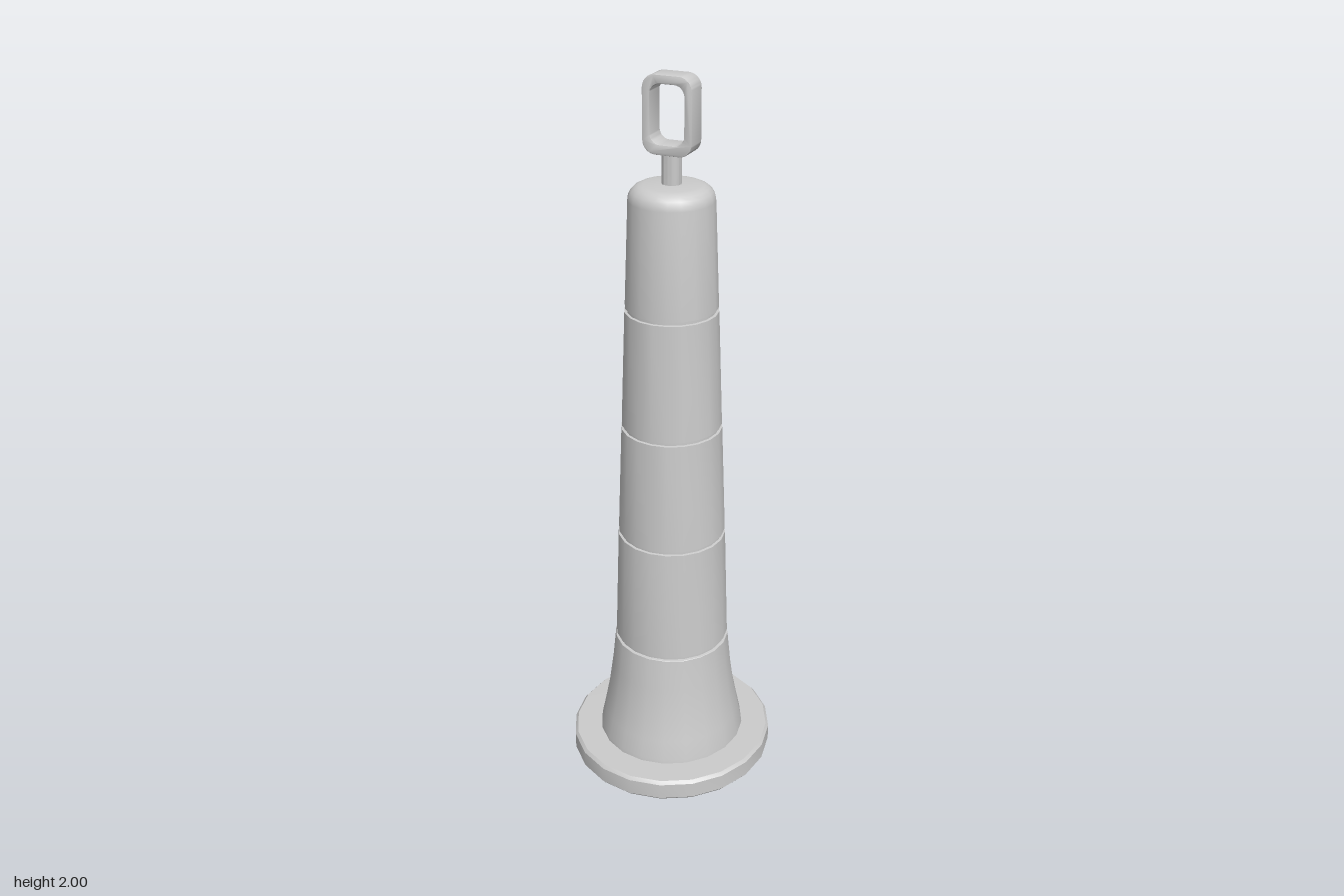
import * as THREE from 'three';
import { toCreasedNormals } from 'three/addons/utils/BufferGeometryUtils.js';

const SIDES = 20;
const material = new THREE.MeshStandardMaterial({ color: 0xcccccc });

function addPart(group, name, geometry) {
  const mesh = new THREE.Mesh(toCreasedNormals(geometry, 0.6), material);
  mesh.name = name;
  group.add(mesh);
  return mesh;
}

function lathe(points, sides = SIDES) {
  return new THREE.LatheGeometry(points.map(([r, y]) => new THREE.Vector2(r, y)), sides);
}

// Upright rounded rectangle, for the loop and its opening
function roundedRect(Type, w, y0, y1, r) {
  const s = new Type();
  s.moveTo(w - r, y0);
  s.absarc(w - r, y0 + r, r, -Math.PI / 2, 0);
  s.absarc(w - r, y1 - r, r, 0, Math.PI / 2);
  s.absarc(-w + r, y1 - r, r, Math.PI / 2, Math.PI);
  s.absarc(-w + r, y0 + r, r, Math.PI, Math.PI * 1.5);
  s.closePath();
  return s;
}

export function createModel() {
  const group = new THREE.Group();
  group.name = 'channelizerCone';

  // Heavy base ring, slightly narrower across x
  const base = addPart(group, 'base', lathe([
    [0, 0], [0.295, 0], [0.302, 0.008], [0.302, 0.054], [0.294, 0.063], [0, 0.067],
  ]));
  base.scale.x = 0.967;

  // Body: flared foot, tapering barrel with grooves, rounded top
  const profile = [[0.219, 0.06], [0.217, 0.075], [0.204, 0.13], [0.189, 0.2], [0.175, 0.29], [0.164, 0.385]];
  const grooves = [[0.39, 0.163], [0.73, 0.151], [1.057, 0.138], [1.393, 0.125]];
  for (const [y, r] of grooves) {
    profile.push([r, y - 0.004], [r - 0.007, y - 0.003], [r - 0.007, y + 0.006], [r - 0.001, y + 0.007]);
  }
  for (let i = 0; i <= 5; i++) {
    const a = (i / 5) * Math.PI / 2;
    profile.push([0.073 + 0.04 * Math.cos(a), 1.685 + 0.04 * Math.sin(a)]);
  }
  profile.push([0, 1.728]);
  const body = lathe(profile);
  // The foot narrows in x towards the base
  const pos = body.attributes.position;
  for (let i = 0; i < pos.count; i++) {
    const t = THREE.MathUtils.clamp((0.385 - pos.getY(i)) / 0.325, 0, 1);
    pos.setX(i, pos.getX(i) * (1 - 0.035 * t));
  }
  addPart(group, 'body', body);

  // Stem under the handle
  const stem = new THREE.CylinderGeometry(0.026, 0.026, 0.1, 16);
  addPart(group, 'stem', stem).position.y = 1.765;

  // Handle loop
  const bevel = 0.003;
  const shape = roundedRect(THREE.Shape, 0.067 - bevel, 1.803 + bevel, 2 - bevel, 0.032);
  shape.holes.push(roundedRect(THREE.Path, 0.046 + bevel, 1.829 - bevel, 1.978 + bevel, 0.03));
  const loop = new THREE.ExtrudeGeometry(shape, {
    depth: 0.064 - 2 * bevel, bevelEnabled: true, bevelSize: bevel,
    bevelThickness: bevel, bevelSegments: 2, curveSegments: 6,
  });
  loop.translate(0, 0, -0.032 + bevel);
  addPart(group, 'handleLoop', loop);

  return group;
}
